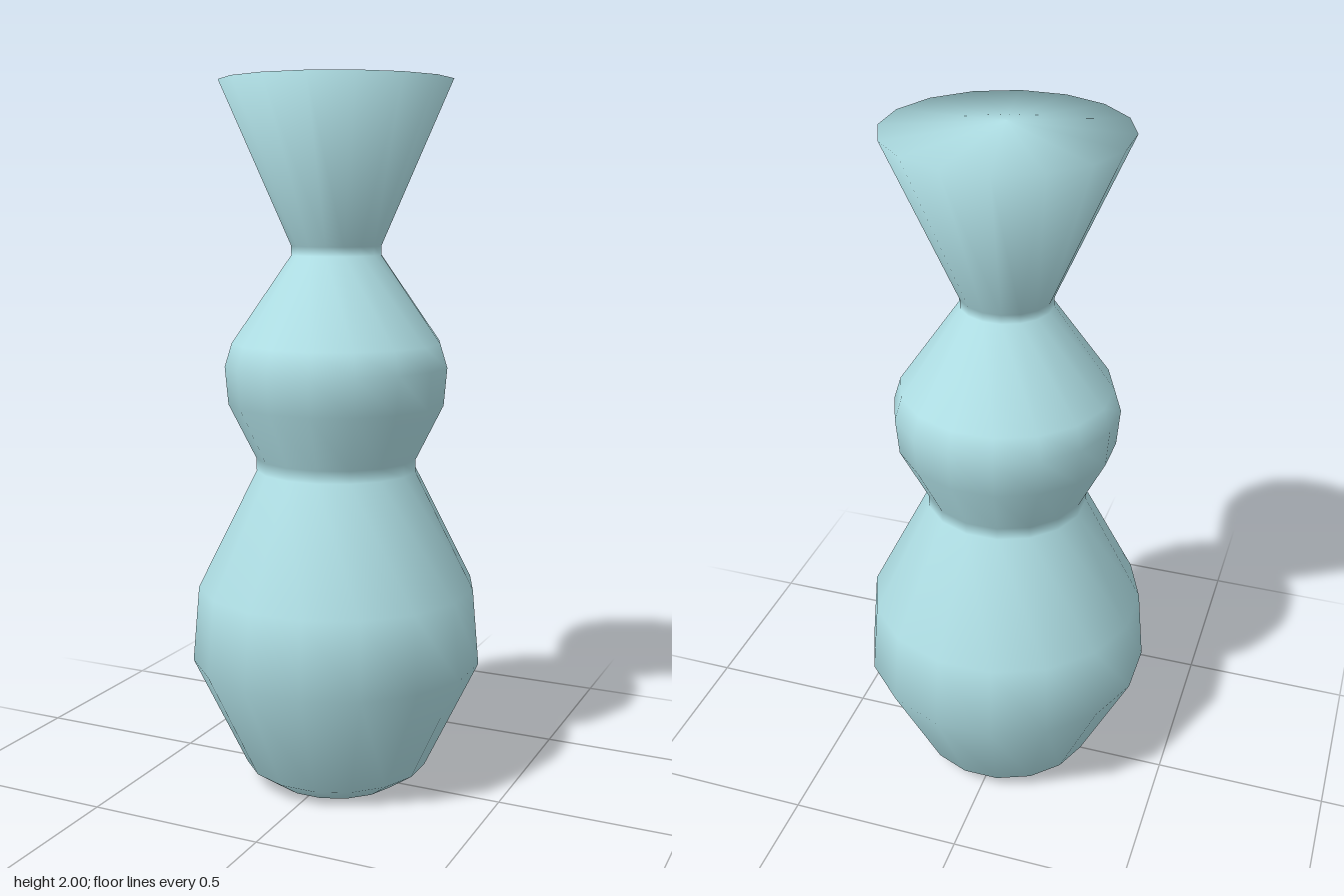
import * as THREE from 'three';

const SIDES = 16;

export function createModel() {
  const group = new THREE.Group();
  group.name = 'vase';
  const material = new THREE.MeshStandardMaterial({ color: 0xb0e0e6 });

  // Body: smooth 16-sided turned profile, closed by a very shallow dome on top
  const profile = [
    [0.19, 0], [0.262, 0.05],                                // foot bevel
    [0.413, 0.365], [0.394, 0.58],                           // lower bulb
    [0.227, 0.91], [0.227, 0.945],                           // waist
    [0.304, 1.1], [0.313, 1.205], [0.293, 1.27],             // upper bulb
    [0.126, 1.51], [0.126, 1.535],                           // neck
    [0.321, 1.977], [0, 2],                                  // flared rim and top
  ].map(([r, y]) => new THREE.Vector2(r, y));
  const body = new THREE.Mesh(new THREE.LatheGeometry(profile, SIDES, Math.PI / SIDES), material);
  body.name = 'body';
  group.add(body);

  // Base: flat underside disc
  const base = new THREE.Mesh(new THREE.CircleGeometry(0.19, SIDES, Math.PI / SIDES), material);
  base.rotation.x = Math.PI / 2;
  base.name = 'base';
  group.add(base);

  return group;
}
